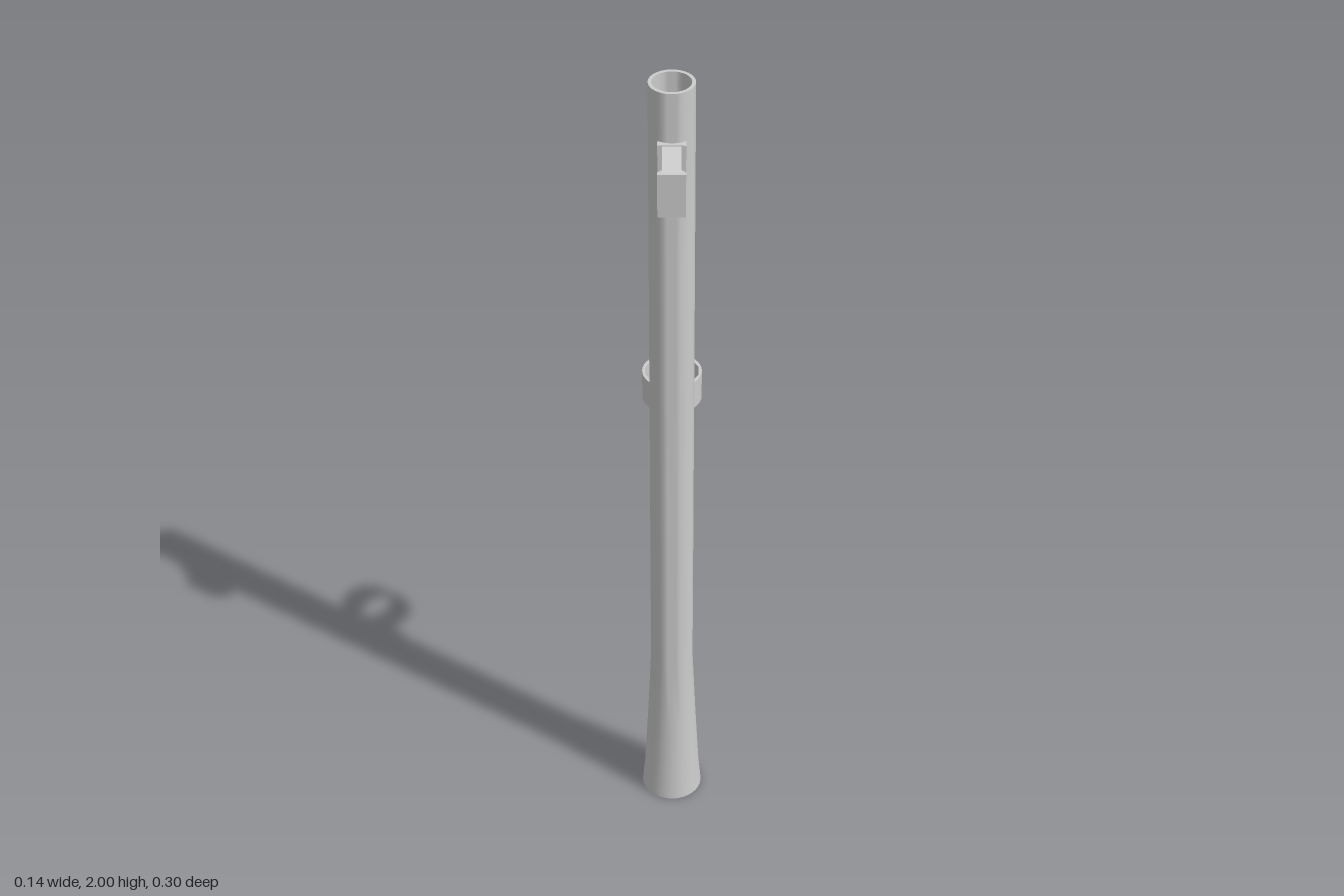
import * as THREE from 'three';
import { toCreasedNormals } from 'three/addons/utils/BufferGeometryUtils.js';

const TUBE_Z = 0.043;
const RING_Z = -0.084;

export function createModel() {
  const model = new THREE.Group();
  const material = new THREE.MeshStandardMaterial({ color: 0xcccccc, side: THREE.DoubleSide });

  const add = (name, geometry, parent = model) => {
    const mesh = new THREE.Mesh(geometry, material);
    mesh.name = name;
    parent.add(mesh);
    return mesh;
  };

  // Extrudes a side profile of [z, y] points across x, centred on x = 0
  const sideProfile = (points, width) => {
    const shape = new THREE.Shape(points.map(([z, y]) => new THREE.Vector2(-z, y)));
    const g = new THREE.ExtrudeGeometry(shape, { depth: width, bevelEnabled: false });
    g.translate(0, 0, -width / 2);
    return g.rotateY(Math.PI / 2);
  };

  // Extrudes a plan shape drawn in (x, -z) upward from y0
  const planShape = (shape, y0, height) => {
    const g = new THREE.ExtrudeGeometry(shape, { depth: height, bevelEnabled: false, curveSegments: 20 });
    return g.rotateX(-Math.PI / 2).translate(0, y0, 0);
  };

  // Long tube with a flared foot, hollow at both ends around an inner wall
  const profile = [
    [0, 1], [0.042, 1], [0.042, 0.42], [0.064, 0.02], [0.066, 0], [0.072, 0],
    [0.071, 0.015], [0.066, 0.07], [0.058, 0.23], [0.05, 0.42],
    [0.05, 2], [0.042, 2], [0.042, 1.002], [0, 1.002],
  ].map(([r, y]) => new THREE.Vector2(r, y));
  const tube = add('tube', toCreasedNormals(new THREE.LatheGeometry(profile, 32), 0.6));
  tube.position.z = TUBE_Z;

  // Front grip: mounting plate, sloping legs and raised pad
  const grip = new THREE.Group();
  grip.name = 'frontGrip';
  model.add(grip);
  add('gripMount', sideProfile([[0.08, 1.715], [0.102, 1.715], [0.102, 1.883], [0.08, 1.883]], 0.06), grip);
  add('gripUpperLeg', sideProfile([[0.1, 1.883], [0.1, 1.868], [0.138, 1.828], [0.142, 1.841]], 0.04), grip);
  add('gripLowerLeg', sideProfile([[0.1, 1.715], [0.142, 1.738], [0.138, 1.75], [0.1, 1.728]], 0.04), grip);
  const pad = new THREE.Shape([[-0.02, -0.13], [0.02, -0.13], [0.03, -0.14], [0.03, -0.149],
    [-0.03, -0.149], [-0.03, -0.14]].map(([x, y]) => new THREE.Vector2(x, y)));
  add('gripPad', planShape(pad, 1.738, 0.104), grip);

  // Rear holder: tapered plate, neck and open ring
  const holder = new THREE.Group();
  holder.name = 'rearHolder';
  model.add(holder);
  add('holderPlate', sideProfile([[0.012, 1.05], [-0.005, 1.05], [-0.014, 1.08], [-0.014, 1.2], [0.012, 1.2]], 0.06), holder);
  const neck = new THREE.Shape([[-0.03, 0.012], [0.03, 0.012], [0.025, 0.026], [-0.025, 0.026]]
    .map(([x, y]) => new THREE.Vector2(x, y)));
  add('holderNeck', planShape(neck, 1.1, 0.072), holder);

  // Ring with a round outside and a twelve-sided opening
  const ring = new THREE.Shape().absarc(0, -RING_Z, 0.068, 0, Math.PI * 2);
  const opening = [];
  for (let i = 0; i < 12; i++) {
    const a = (i + 0.5) * Math.PI / 6;
    opening.push(new THREE.Vector2(Math.cos(a) * 0.062, Math.sin(a) * 0.062 - RING_Z));
  }
  ring.holes.push(new THREE.Path(opening));
  add('holderRing', toCreasedNormals(planShape(ring, 1.1, 0.072), 0.4), holder);

  return model;
}
